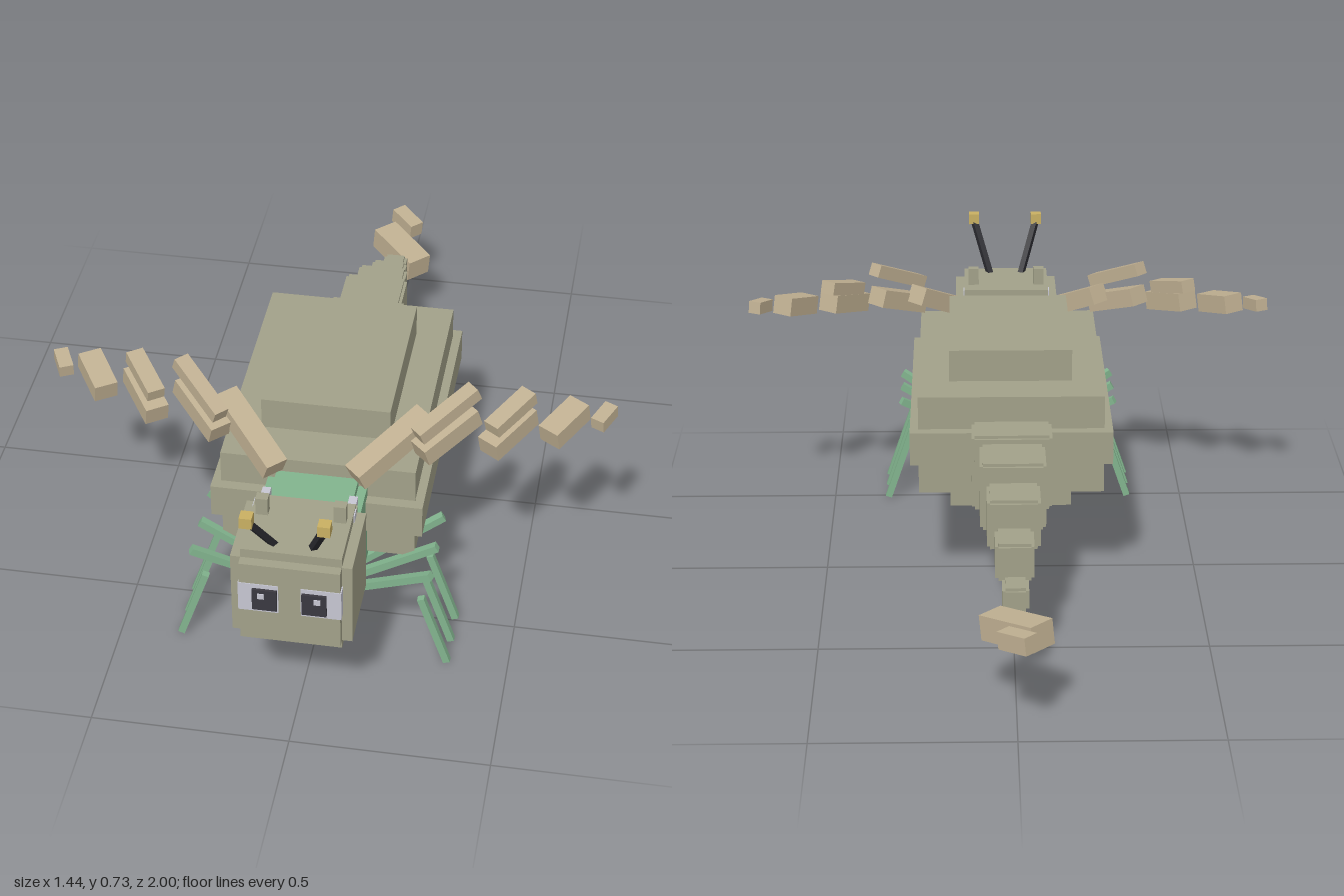
import * as THREE from 'three';

const mat = (name, hex) => {
  const m = new THREE.MeshStandardMaterial({ color: hex });
  m.name = name;
  return m;
};

export function createModel() {
  const model = new THREE.Group();
  model.name = 'boxyInsect';
  const sage = mat('sage', 0xa2a189), green = mat('green', 0x82b48e), tan = mat('tan', 0xc0b092);
  const yellow = mat('yellow', 0xc9b062), black = mat('black', 0x2b2b30);
  const pale = mat('paleGrey', 0xc6c6d2), dark = mat('darkGrey', 0x3a3840);

  // Box from its lower and upper limits on each axis
  const box = (name, m, [x0, x1], [y0, y1], [z0, z1], parent = model) => {
    const mesh = new THREE.Mesh(new THREE.BoxGeometry(x1 - x0, y1 - y0, z1 - z0), m);
    mesh.position.set((x0 + x1) / 2, (y0 + y1) / 2, (z0 + z1) / 2);
    mesh.name = name;
    parent.add(mesh);
    return mesh;
  };

  // Three crossed boxes give a block with stepped edges
  const stepped = (name, m, hw, [y0, y1], [z0, z1], s) => {
    const g = new THREE.Group();
    g.name = name;
    for (let axis = 0; axis < 3; axis++) {
      const i = [s, s, s];
      i[axis] = 0;
      box(name + 'Block', m, [-hw + i[0], hw - i[0]], [y0 + i[1], y1 - i[1]], [z0 + i[2], z1 - i[2]], g);
    }
    model.add(g);
  };

  // Bar running between two points
  const bar = (name, m, a, b, w, h = w) => {
    const p = new THREE.Vector3(...a), q = new THREE.Vector3(...b);
    const mesh = new THREE.Mesh(new THREE.BoxGeometry(w, h, p.distanceTo(q)), m);
    mesh.position.copy(p).add(q).multiplyScalar(0.5);
    mesh.lookAt(q);
    mesh.name = name;
    model.add(mesh);
  };

  // Layered body shell
  box('bodyRim', sage, [-0.267, 0.267], [0.367, 0.457], [-0.15, 0.6]);
  box('bodyMiddle', sage, [-0.245, 0.245], [0.277, 0.546], [-0.12, 0.572]);
  box('bodyCore', sage, [-0.163, 0.163], [0.187, 0.632], [0, 0.453]);

  // Thorax and head
  stepped('thorax', green, 0.125, [0.237, 0.508], [0.45, 0.72], 0.022);
  stepped('head', sage, 0.147, [0.275, 0.557], [0.7, 0.955], 0.025);

  // Tail segments: half width, y range, z range
  [
    [0.105, [0.27, 0.477], [-0.228, -0.1]],
    [0.085, [0.274, 0.457], [-0.37, -0.2]],
    [0.068, [0.274, 0.407], [-0.49, -0.34]],
    [0.049, [0.243, 0.343], [-0.612, -0.502]],
    [0.033, [0.217, 0.28], [-0.735, -0.655]],
  ].forEach(([hw, y, z], i) => stepped('tailSegment' + (i + 1), sage, hw, y, z, 0.008));

  // Tail tip, turned diagonally
  [[0.175, 0.065, 0.075, 0.222, -0.835], [0.092, 0.045, 0.043, 0.248, -0.952]].forEach(([l, h, w, y, z], i) => {
    const tip = box('tailTip' + (i + 1), tan, [-l / 2, l / 2], [-h / 2, h / 2], [-w / 2, w / 2]);
    tip.position.set(0, y, z);
    tip.rotation.set(0, -Math.PI / 4, -0.14);
  });

  // Wing pieces: inner end, outer end, width, thickness
  const wing = [
    [[0.1, 0.54, 0.605], [0.255, 0.635, 0.455], 0.06, 0.05],
    [[0.25, 0.585, 0.54], [0.365, 0.64, 0.425], 0.06, 0.05],
    [[0.245, 0.645, 0.55], [0.37, 0.715, 0.435], 0.04, 0.035],
    [[0.415, 0.6, 0.515], [0.5, 0.633, 0.395], 0.06, 0.05],
    [[0.42, 0.645, 0.495], [0.5, 0.68, 0.385], 0.045, 0.035],
    [[0.558, 0.611, 0.46], [0.625, 0.637, 0.36], 0.06, 0.05],
    [[0.672, 0.625, 0.41], [0.702, 0.635, 0.35], 0.036, 0.033],
  ];

  for (const [s, side] of [[1, 'left'], [-1, 'right']]) {
    const at = ([x, y, z]) => [s * x, y, z];
    const span = (a, b) => (s > 0 ? [a, b] : [-b, -a]);

    wing.forEach(([a, b, w, t], i) => bar(side + 'WingPiece' + (i + 1), tan, at(a), at(b), w, t));

    // Legs: raised upper segments with separate lower segments
    [[0.62, 0.685, 0.655], [0.575, 0.575, 0.575], [0.525, 0.455, 0.49]].forEach(([zIn, zOut, zLow], i) => {
      bar(side + 'UpperLeg' + (i + 1), green, at([0.09, 0.192, zIn]), at([0.303, 0.317, zOut]), 0.02);
      bar(side + 'LowerLeg' + (i + 1), green, at([0.275, 0.213, zLow]), at([0.345, 0.009, zLow]), 0.018);
    });

    // Antenna with a cube at the end
    bar(side + 'Antenna', black, at([0.044, 0.545, 0.89]), at([0.09, 0.685, 0.98]), 0.016);
    box(side + 'AntennaTip', yellow, span(0.077, 0.107), [0.682, 0.712], [0.97, 1]);

    // Eye
    box(side + 'EyeWhite', pale, span(0.027, 0.125), [0.39, 0.474], [0.92, 0.957]);
    box(side + 'Pupil', dark, span(0.03, 0.09), [0.4, 0.462], [0.957, 0.964]);
    box(side + 'EyeGlint', pale, span(0.06, 0.076), [0.437, 0.452], [0.964, 0.967]);

    // Small horn and clasps on top of the head
    box(side + 'Horn', sage, span(0.08, 0.11), [0.54, 0.605], [0.775, 0.8]);
    box(side + 'HeadClasp', pale, span(0.097, 0.125), [0.528, 0.552], [0.735, 0.765]);
    box(side + 'NeckClasp', pale, span(0.097, 0.118), [0.515, 0.535], [0.67, 0.7]);

    // Side of the mouth
    bar(side + 'Mandible', yellow, at([0.12, 0.29, 0.727]), at([0.058, 0.215, 0.76]), 0.02);
  }
  box('mouthBar', yellow, [-0.065, 0.065], [0.204, 0.222], [0.75, 0.772]);

  return model;
}
